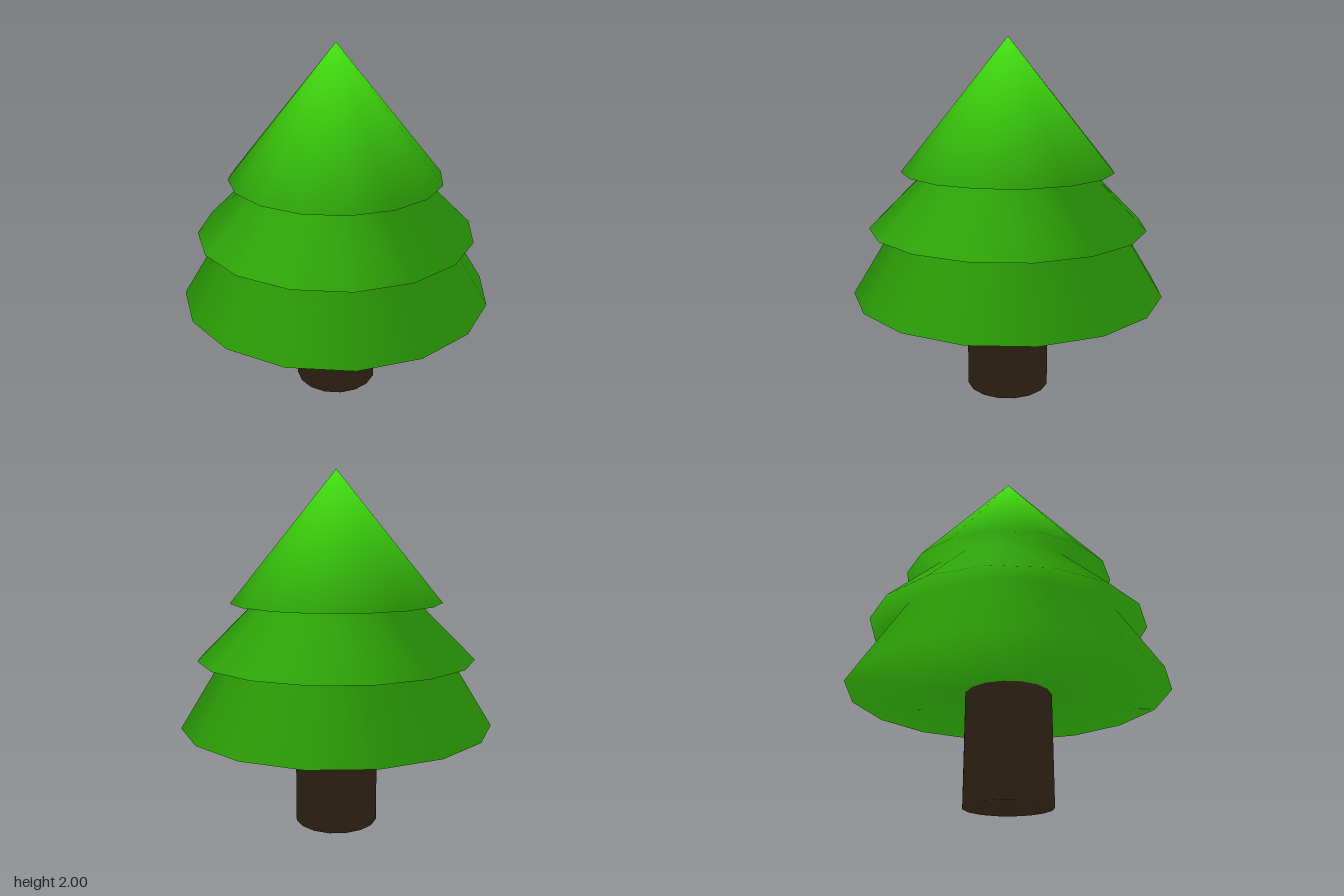
import * as THREE from 'three';

const SIDES = 16;

// Outline [radius, height] from the trunk base up to the tip
const outline = [
  [0, 0], [0.237, 0], [0.237, 0.6],   // trunk
  [0.874, 0.6], [0.645, 0.97],        // lower tier
  [0.775, 0.97], [0.46, 1.28],        // middle tier
  [0.592, 1.28], [0, 2],              // top tier
].map(([r, y]) => new THREE.Vector2(r, y));

// Outward normal of the outline segment that starts at point i
function segmentNormal(i) {
  const d = outline[i + 1].clone().sub(outline[i]);
  return new THREE.Vector2(d.y, -d.x).normalize();
}

// Rounded shading: each ring takes the mean of its two neighbouring segments
const ringNormals = outline.map((p, i) => {
  if (i === 0) return new THREE.Vector2(0, -1);
  if (i === outline.length - 1) return new THREE.Vector2(0, 1);
  return segmentNormal(i - 1).add(segmentNormal(i)).normalize();
});

// Turn the outline between two of its points into a smooth-shaded mesh
function turnedPart(name, first, last, color) {
  const points = outline.slice(first, last + 1);
  const geometry = new THREE.LatheGeometry(points, SIDES);
  const normal = geometry.attributes.normal;
  for (let s = 0; s <= SIDES; s++) {
    const angle = (s / SIDES) * Math.PI * 2;
    for (let j = 0; j < points.length; j++) {
      const n = ringNormals[first + j];
      normal.setXYZ(s * points.length + j, n.x * Math.sin(angle), n.y, n.x * Math.cos(angle));
    }
  }
  const mesh = new THREE.Mesh(geometry, new THREE.MeshStandardMaterial({ color }));
  mesh.name = name;
  return mesh;
}

export function createModel() {
  const tree = new THREE.Group();
  tree.name = 'tree';
  tree.add(
    turnedPart('trunk', 0, 2, 0x4d3722),
    turnedPart('foliage', 2, outline.length - 1, 0x43e60f),
  );
  return tree;
}
